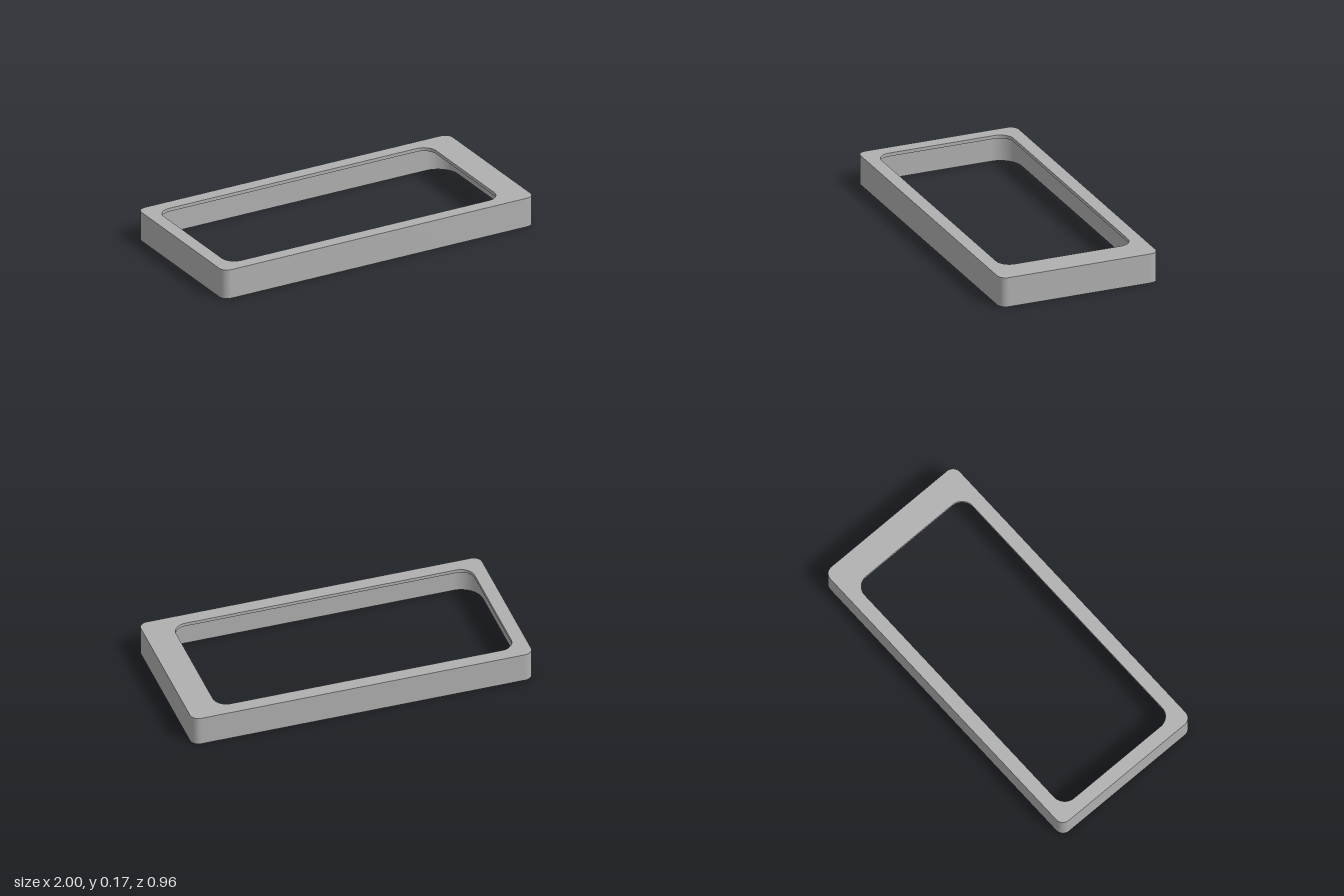
import * as THREE from 'three';
import { toCreasedNormals } from 'three/addons/utils/BufferGeometryUtils.js';

const HEIGHT = 0.175, LIP = 0.02;

// Rounded rectangle between x0..x1, symmetric in depth
function roundedRect(path, x0, x1, h, r) {
  path.moveTo(x0 + r, -h);
  path.lineTo(x1 - r, -h);
  path.absarc(x1 - r, -h + r, r, -Math.PI / 2, 0);
  path.lineTo(x1, h - r);
  path.absarc(x1 - r, h - r, r, 0, Math.PI / 2);
  path.lineTo(x0 + r, h);
  path.absarc(x0 + r, h - r, r, Math.PI / 2, Math.PI);
  path.lineTo(x0, -h + r);
  path.absarc(x0 + r, -h + r, r, Math.PI, Math.PI * 1.5);
  path.closePath();
  return path;
}

const outline = () => roundedRect(new THREE.Shape(), -1, 1, 0.48, 0.05);

// Horizontal slab standing on the given height
function slab(name, shape, y, depth, material) {
  const geometry = new THREE.ExtrudeGeometry(shape, { depth, bevelEnabled: false, curveSegments: 16 });
  geometry.rotateX(-Math.PI / 2);
  geometry.translate(0, y, 0);
  const mesh = new THREE.Mesh(toCreasedNormals(geometry, 0.6), material);
  mesh.name = name;
  return mesh;
}

export function createModel() {
  const group = new THREE.Group();
  group.name = 'bezelFrame';
  const grey = new THREE.MeshStandardMaterial({ color: 0xb0b0b0 });
  grey.name = 'grey plastic';

  // Thin side walls around the cavity, with a screw hole in each corner
  const walls = outline();
  walls.holes.push(roundedRect(new THREE.Path(), -0.97, 0.97, 0.45, 0.13));
  for (const sx of [-1, 1]) for (const sz of [-1, 1]) {
    walls.holes.push(new THREE.Path().absarc(sx * 0.955, sz * 0.435, 0.017, 0, Math.PI * 2));
  }
  group.add(slab('sideWalls', walls, 0, HEIGHT - LIP, grey));

  // Top lip with the off-centre window opening
  const lip = outline();
  lip.holes.push(roundedRect(new THREE.Path(), -0.92, 0.83, 0.4, 0.08));
  group.add(slab('topLip', lip, HEIGHT - LIP, LIP, grey));

  return group;
}
